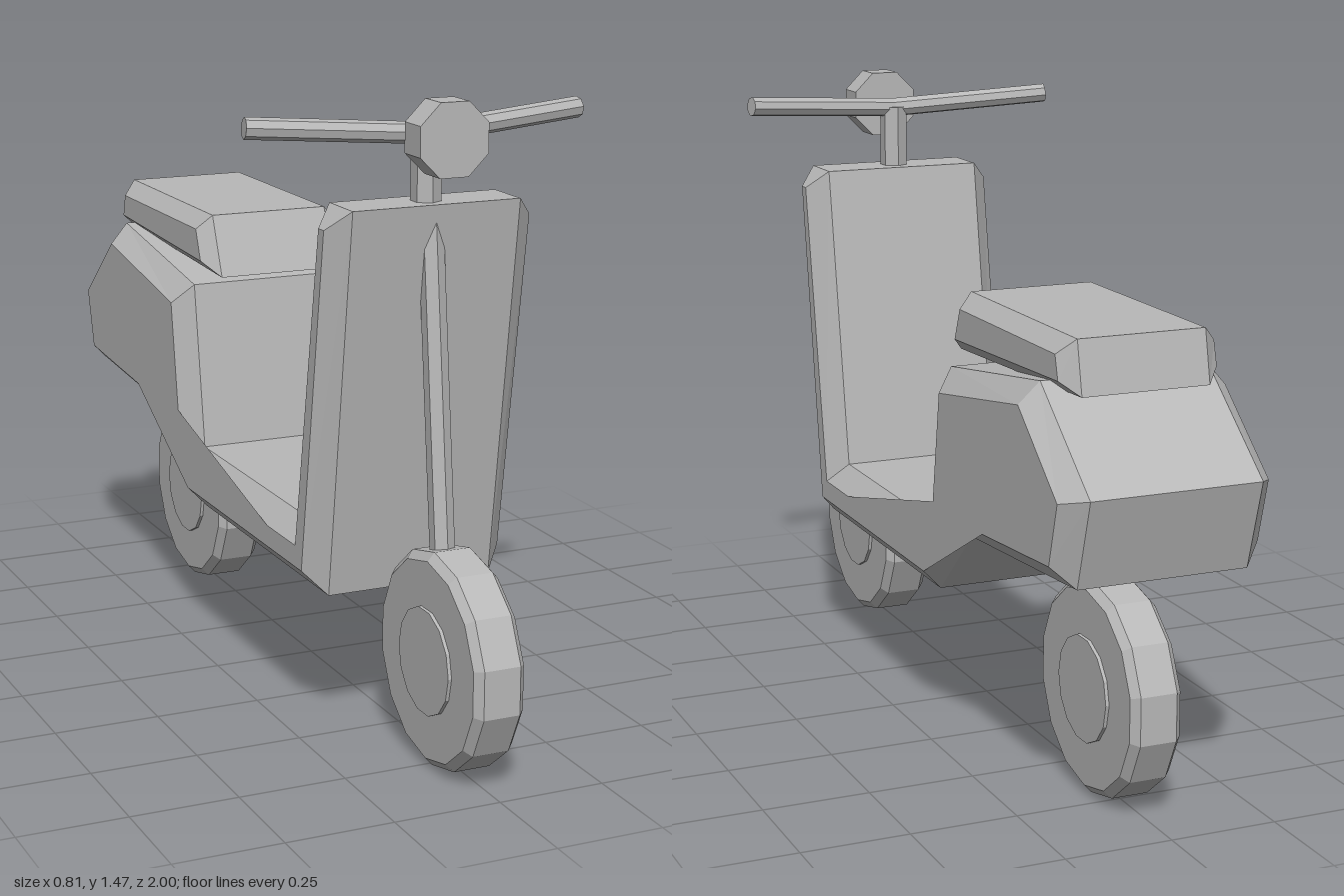
import * as THREE from 'three';

const grey = new THREE.MeshStandardMaterial({ color: 0xb8b8b8, flatShading: true });
grey.name = 'plain grey';

function part(name, geometry, parent) {
  const mesh = new THREE.Mesh(geometry, grey);
  mesh.name = name;
  parent.add(mesh);
  return mesh;
}

// Bevelled slab across x: [z, y] outlines run counterclockwise,
// the wide outline sits at x = +-xWide, the inset one at x = +-xInset.
function bevelledSlab(wide, inset, xWide, xInset) {
  const rings = [[inset, -xInset], [wide, -xWide], [wide, xWide], [inset, xInset]]
    .map(([outline, x]) => outline.map(([z, y]) => [x, y, z]));
  const pos = [];
  const tri = (a, b, c) => pos.push(...a, ...b, ...c);
  for (let r = 0; r < 3; r++) {
    const a = rings[r], b = rings[r + 1];
    for (let i = 0; i < a.length; i++) {
      const j = (i + 1) % a.length;
      tri(a[i], b[j], a[j]);
      tri(a[i], b[i], b[j]);
    }
  }
  const flat = inset.map(([z, y]) => new THREE.Vector2(z, y));
  for (const [i, j, k] of THREE.ShapeUtils.triangulateShape(flat, [])) {
    tri(rings[0][i], rings[0][j], rings[0][k]);
    tri(rings[3][i], rings[3][k], rings[3][j]);
  }
  const geometry = new THREE.BufferGeometry();
  geometry.setAttribute('position', new THREE.Float32BufferAttribute(pos, 3));
  geometry.computeVertexNormals();
  return geometry;
}

// Straight rod between two points
function rod(from, to, radius, sides) {
  const a = new THREE.Vector3(...from), b = new THREE.Vector3(...to);
  const dir = b.clone().sub(a);
  const geometry = new THREE.CylinderGeometry(radius, radius, dir.length(), sides);
  geometry.applyQuaternion(new THREE.Quaternion().setFromUnitVectors(
    new THREE.Vector3(0, 1, 0), dir.normalize()));
  const mid = a.add(b).multiplyScalar(0.5);
  return geometry.translate(mid.x, mid.y, mid.z);
}

function wheel(name, z, parent) {
  const group = new THREE.Group();
  group.name = name;
  group.position.set(0, 0.247, z);
  parent.add(group);
  // Tyre with chamfered shoulders, closed at both sides
  const profile = [[0, -0.06], [0.228, -0.06], [0.247, -0.043], [0.247, 0.043], [0.228, 0.06], [0, 0.06]]
    .map(([r, h]) => new THREE.Vector2(r, h));
  part('tyre', new THREE.LatheGeometry(profile, 14, Math.PI / 2).rotateZ(Math.PI / 2), group);
  // Raised hub on both sides
  part('hub', new THREE.CylinderGeometry(0.122, 0.122, 0.136, 14).rotateZ(Math.PI / 2), group);
}

export function createModel() {
  const scooter = new THREE.Group();
  scooter.name = 'scooter';

  // Leg shield, floor and tail as one bevelled body
  const bodyWide = [
    [-1, 0.77], [-0.94, 0.565], [-0.38, 0.528], [-0.19, 0.35], [0.55, 0.35], [0.67, 1.24],
    [0.55, 1.24], [0.43, 0.5], [-0.2, 0.5], [-0.2, 0.5], [-0.26, 0.9], [-0.75, 0.97],
  ];
  const bodyInset = [
    [-0.94, 0.755], [-0.9, 0.61], [-0.55, 0.585], [-0.2, 0.4], [0.505, 0.4], [0.625, 1.195],
    [0.597, 1.195], [0.47, 0.45], [0.31, 0.45], [-0.26, 0.585], [-0.3, 0.85], [-0.74, 0.92],
  ];
  part('body', bevelledSlab(bodyWide, bodyInset, 0.2, 0.247), scooter);

  // Seat cushion
  const seatWide = [[-0.85, 0.95], [-0.2, 0.925], [-0.26, 1.07], [-0.825, 1.07]];
  const seatInset = [[-0.81, 0.98], [-0.25, 0.96], [-0.28, 1.035], [-0.795, 1.035]];
  part('seat', bevelledSlab(seatWide, seatInset, 0.15, 0.187), scooter);

  wheel('frontWheel', 0.76, scooter);
  wheel('rearWheel', -0.69, scooter);

  // Steering
  part('fork', rod([0, 0.46, 0.714], [0, 1.215, 0.635], 0.028, 6), scooter);
  part('steeringColumn', rod([0, 1.2, 0.612], [0, 1.39, 0.612], 0.034, 6), scooter);
  for (const side of [-1, 1]) {
    part(side > 0 ? 'leftHandlebar' : 'rightHandlebar',
      rod([0, 1.387, 0.615], [side * 0.4, 1.413, 0.557], 0.024, 8), scooter);
  }

  // Octagonal headlamp, flat side up
  const lamp = new THREE.CylinderGeometry(0.087, 0.087, 0.075, 8);
  lamp.rotateY(Math.PI / 8).rotateX(Math.PI / 2).translate(0, 1.39, 0.708);
  part('headlamp', lamp, scooter);

  return scooter;
}
